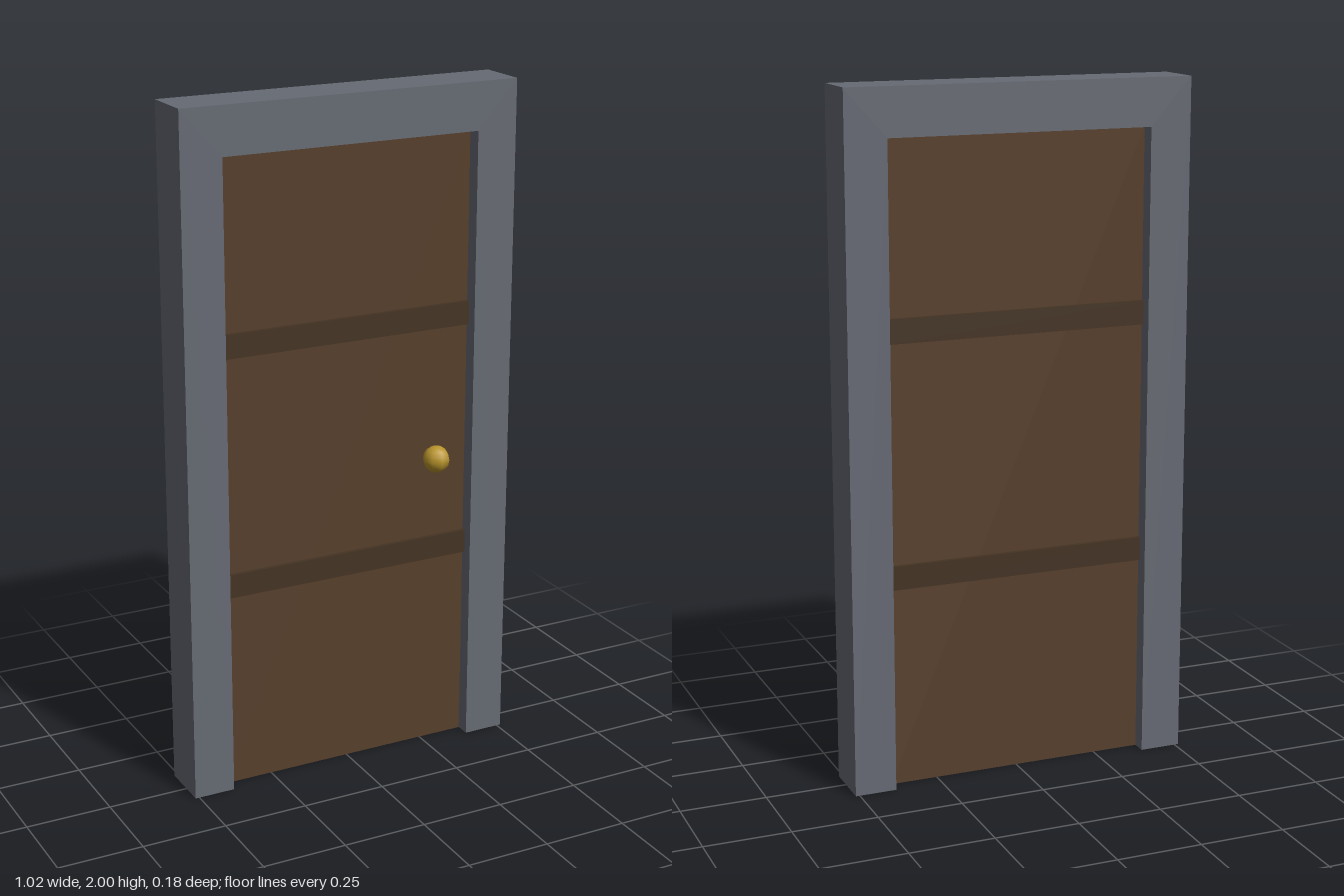
import * as THREE from 'three';

const FRAME = { half: 0.512, height: 2, back: -0.09, depth: 0.157 };
const DOOR = { half: 0.39, height: 1.862, depth: 0.07 };
const MID_Z = FRAME.back + FRAME.depth / 2;

export function createModel() {
  const model = new THREE.Group();
  model.name = 'door';

  const material = (color) => new THREE.MeshStandardMaterial({ color });
  const stone = material(0x666a73);
  const wood = material(0x573f2b);
  const darkWood = material(0x443323);
  const brass = material(0xb8942c);

  const add = (name, geometry, mat, x, y, z) => {
    const mesh = new THREE.Mesh(geometry, mat);
    mesh.name = name;
    mesh.position.set(x, y, z);
    model.add(mesh);
  };

  // Frame: two jambs and a lintel as one extruded arch
  const arch = new THREE.Shape([
    [-FRAME.half, 0], [-DOOR.half, 0], [-DOOR.half, DOOR.height], [DOOR.half, DOOR.height],
    [DOOR.half, 0], [FRAME.half, 0], [FRAME.half, FRAME.height], [-FRAME.half, FRAME.height],
  ].map(([x, y]) => new THREE.Vector2(x, y)));
  add('frame', new THREE.ExtrudeGeometry(arch, { depth: FRAME.depth, bevelEnabled: false }),
    stone, 0, 0, FRAME.back);

  // Door leaf, recessed equally on both sides
  add('doorPanel', new THREE.BoxGeometry(DOOR.half * 2, DOOR.height, DOOR.depth),
    wood, 0, DOOR.height / 2, MID_Z);

  // Cross rails, standing slightly proud of both faces
  [['lowerRail', 0.623], ['upperRail', 1.33]].forEach(([name, y]) =>
    add(name, new THREE.BoxGeometry(DOOR.half * 2, 0.07, DOOR.depth + 0.024), darkWood, 0, y, MID_Z));

  // Knob on the front face
  add('knob', new THREE.SphereGeometry(0.04, 8, 8), brass, 0.28, 0.905, 0.05);

  return model;
}
